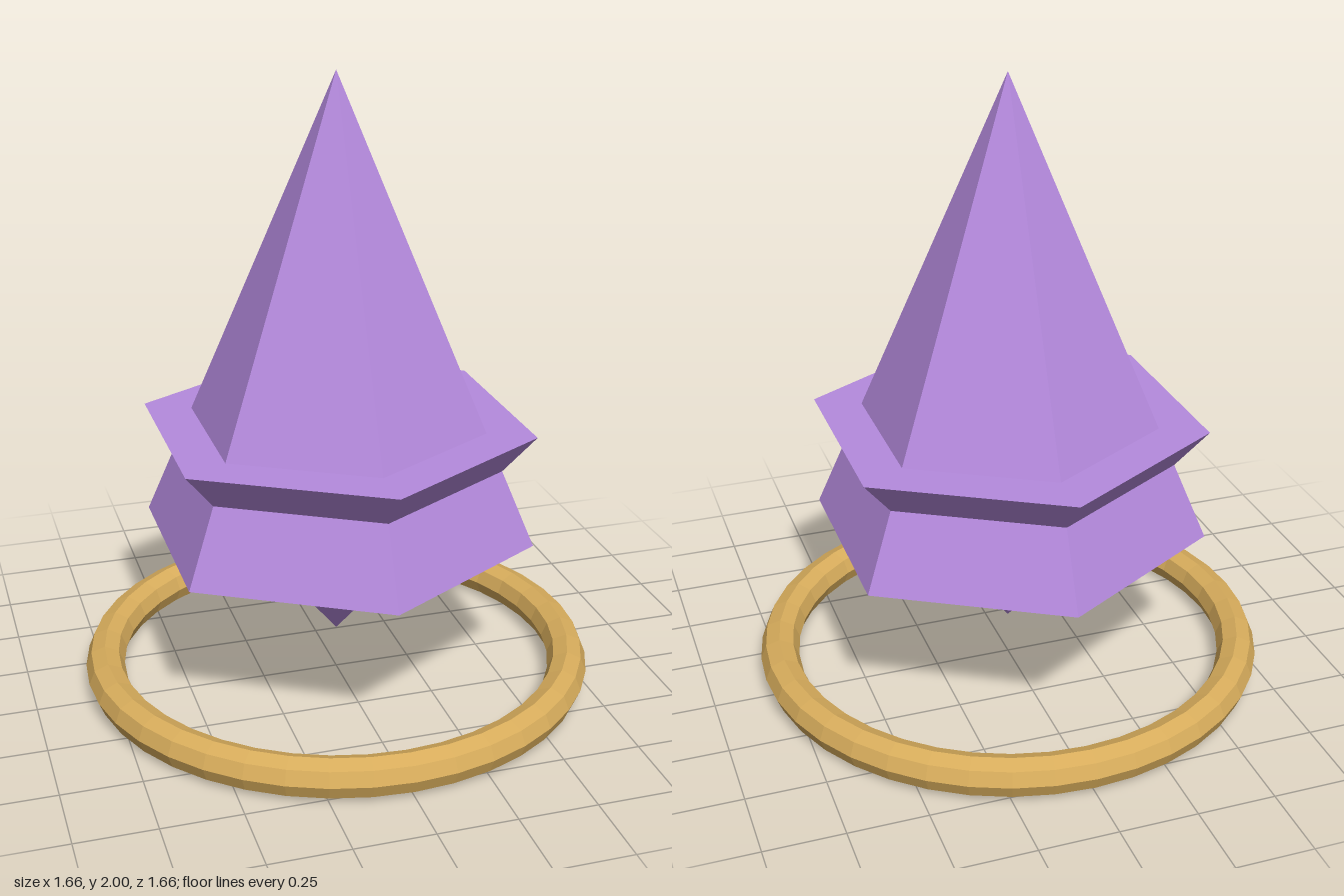
import * as THREE from 'three';

export function createModel() {
  const model = new THREE.Group();

  const amethyst = new THREE.MeshStandardMaterial({ color: 0xb58ade });
  amethyst.name = 'amethyst';
  const gold = new THREE.MeshStandardMaterial({ color: 0xd8ad5c });
  gold.name = 'gold';

  const add = (name, geometry, material, y) => {
    // unshared vertices give every facet its own normal
    const flat = geometry.toNonIndexed();
    flat.computeVertexNormals();
    const mesh = new THREE.Mesh(flat, material);
    mesh.name = name;
    mesh.position.y = y;
    model.add(mesh);
  };

  // two six-sided pyramids passing through each other
  const radius = 0.643;
  const upperBase = 0.515, upperTip = 2;
  const lowerTip = 0.145, lowerBase = 0.885;
  add('upperCrystal', new THREE.ConeGeometry(radius, upperTip - upperBase, 6),
    amethyst, (upperBase + upperTip) / 2);
  add('lowerCrystal', new THREE.ConeGeometry(radius, lowerBase - lowerTip, 6).rotateZ(Math.PI),
    amethyst, (lowerTip + lowerBase) / 2);

  // faceted ring on the ground below the floating crystal
  add('baseRing', new THREE.TorusGeometry(0.766, 0.063, 8, 40).rotateX(Math.PI / 2), gold, 0.064);

  return model;
}
